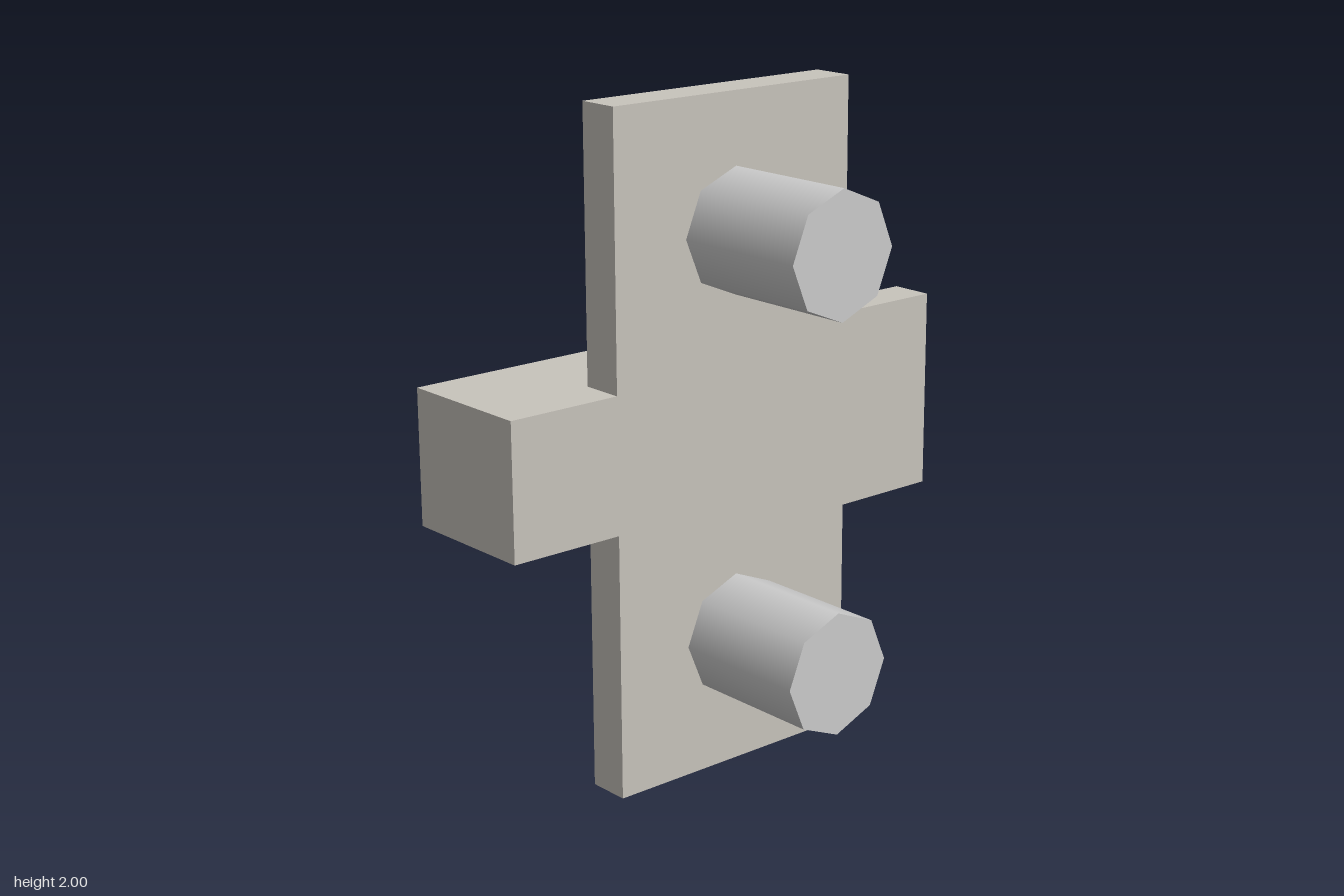
import * as THREE from 'three';

export function createModel() {
  const model = new THREE.Group();
  const plateMaterial = new THREE.MeshStandardMaterial({ color: 0xc8c4bc });
  const pinMaterial = new THREE.MeshStandardMaterial({ color: 0xd6d8d5 });

  const add = (name, geometry, material) => {
    const mesh = new THREE.Mesh(geometry, material);
    mesh.name = name;
    model.add(mesh);
    return mesh;
  };

  // Cross-shaped plate: outline in (z, y), thickness towards -x
  const outline = new THREE.Shape([
    [0.425, 0], [0.425, 0.8], [0.785, 0.8], [0.785, 1.205], [0.425, 1.205], [0.425, 2],
    [-0.44, 2], [-0.44, 1.3], [-0.785, 1.3], [-0.785, 0.7], [-0.44, 0.7], [-0.44, 0],
  ].map(([z, y]) => new THREE.Vector2(z, y)));
  const plate = new THREE.ExtrudeGeometry(outline, { depth: 0.13, bevelEnabled: false });
  plate.rotateY(-Math.PI / 2);
  add('plate', plate, plateMaterial);

  // Bar running along the whole back of the plate
  add('crossBar', new THREE.BoxGeometry(0.305, 0.405, 1.57), plateMaterial)
    .position.set(-0.2825, 1.0025, 0);

  // Eight-sided rod lying along x
  const addRod = (name, radius, x0, x1, y, material) => {
    const rod = new THREE.CylinderGeometry(radius, radius, x1 - x0, 8);
    rod.rotateZ(-Math.PI / 2);
    add(name, rod, material).position.set((x0 + x1) / 2, y, -0.01);
  };

  // Long pins on one side, short heads on the other
  for (const [place, y] of [['lower', 0.4], ['upper', 1.605]]) {
    addRod(place + 'Pin', 0.184, 0, 0.432, y, pinMaterial);
    addRod(place + 'PinHead', 0.18, -0.263, -0.13, y, plateMaterial);
  }

  return model;
}
